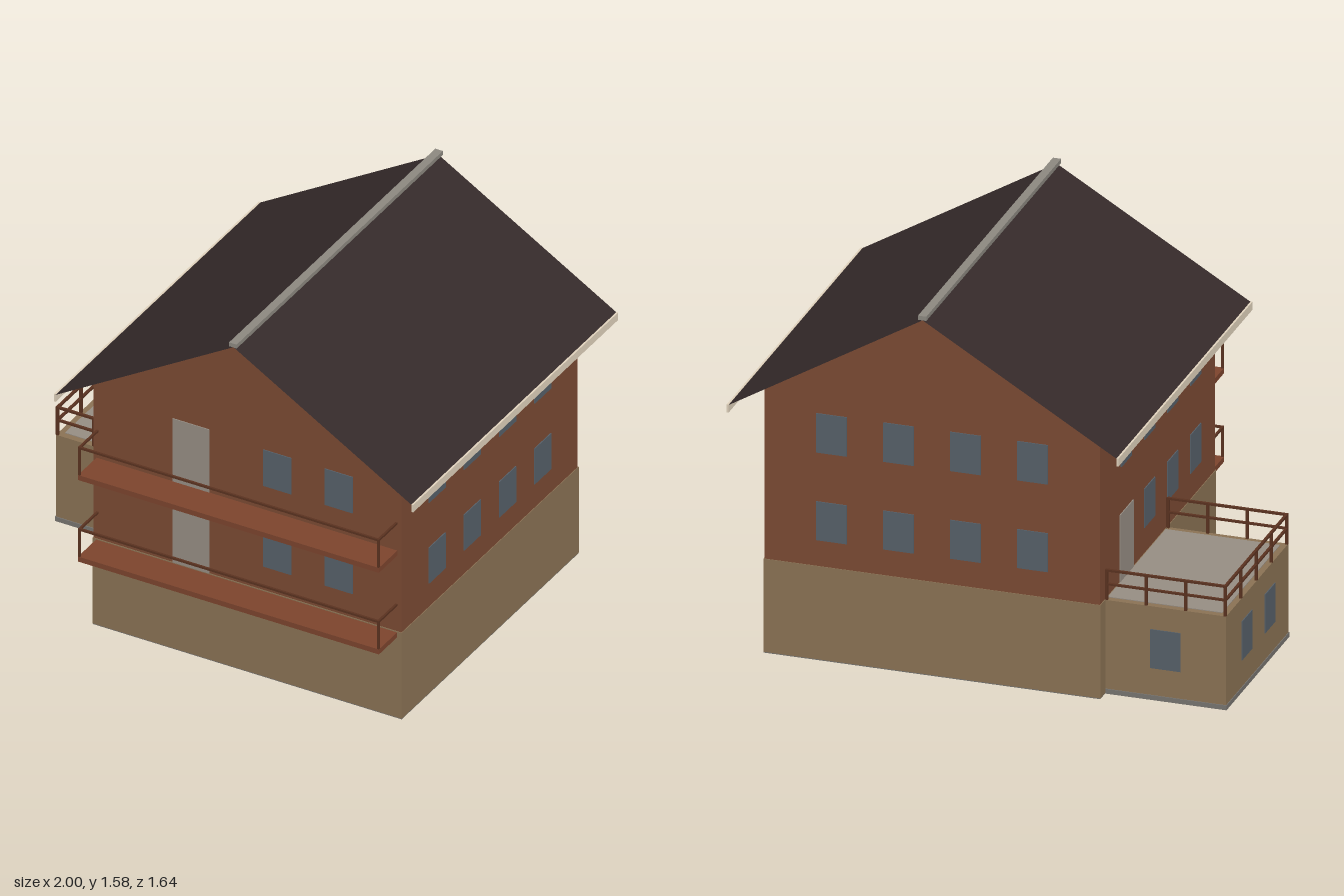
import * as THREE from 'three';

const mat = (name, color, side = THREE.FrontSide) => {
  const m = new THREE.MeshStandardMaterial({ color, side });
  m.name = name;
  return m;
};

export function createModel() {
  const M = {
    wall: mat('brown wall', 0x7b4a33),
    base: mat('tan plinth', 0x8a7254),
    roof: mat('dark roof', 0x352a2a, THREE.DoubleSide),
    trim: mat('cream fascia', 0xe0d2bc),
    ridge: mat('grey ridge', 0x8c8880),
    glass: mat('blue grey glass', 0x566069),
    door: mat('pale grey', 0x968d83),
    slab: mat('balcony wood', 0x7c442d),
    rail: mat('dark rail wood', 0x5a3220),
    ground: mat('foundation grey', 0x777470),
  };
  const house = new THREE.Group();
  house.name = 'house';

  // Box given by its limits on each axis
  const box = (parent, name, material, [x0, x1], [y0, y1], [z0, z1]) => {
    const mesh = new THREE.Mesh(new THREE.BoxGeometry(x1 - x0, y1 - y0, z1 - z0), material);
    mesh.position.set((x0 + x1) / 2, (y0 + y1) / 2, (z0 + z1) / 2);
    mesh.name = name;
    parent.add(mesh);
    return mesh;
  };
  const group = (name) => {
    const g = new THREE.Group();
    g.name = name;
    house.add(g);
    return g;
  };

  const L = -0.498, R = 0.884, F = 0.675, B = -0.705; // wall faces
  const mid = (L + R) / 2, apex = 1.56, eave = 1.083, half = 0.803;
  const slope = (apex - eave) / half;
  const wallTop = apex - slope * (R - mid);

  // Plinth and foundation
  box(house, 'plinth', M.base, [L - 0.003, R + 0.003], [0.004, 0.4], [B - 0.003, F + 0.003]);
  box(house, 'foundation', M.ground, [L - 0.002, R + 0.002], [0, 0.004], [B - 0.002, F + 0.002]);

  // Gabled walls
  const gable = new THREE.Shape();
  gable.moveTo(L, 0.4);
  gable.lineTo(R, 0.4);
  gable.lineTo(R, wallTop - 0.004);
  gable.lineTo(mid, apex - 0.004);
  gable.lineTo(L, wallTop - 0.004);
  const walls = new THREE.Mesh(
    new THREE.ExtrudeGeometry(gable, { depth: F - B, bevelEnabled: false }), M.wall);
  walls.position.z = B;
  walls.name = 'walls';
  house.add(walls);

  // Roof planes, fascias and ridge cap
  const roofZ = [-0.82, 0.785];
  for (const s of [-1, 1]) {
    const geo = new THREE.PlaneGeometry(Math.hypot(half, apex - eave), roofZ[1] - roofZ[0])
      .rotateX(-Math.PI / 2)
      .rotateZ(-s * Math.atan(slope))
      .translate(mid + s * half / 2, (apex + eave) / 2, (roofZ[0] + roofZ[1]) / 2);
    const plane = new THREE.Mesh(geo, M.roof);
    plane.name = s < 0 ? 'rightRoof' : 'leftRoof';
    house.add(plane);
    const x = mid + s * half;
    box(house, 'fascia', M.trim, [x - 0.004, x + 0.004], [1.053, 1.087], roofZ);
  }
  box(house, 'ridgeCap', M.ridge, [mid - 0.017, mid + 0.017], [1.562, 1.58], [-0.825, 0.79]);

  // Thin plates on walls: axis is the wall normal, at is the wall plane
  const openings = group('openings');
  const plate = (name, material, axis, at, centre, width, y) => {
    const across = [centre - width / 2, centre + width / 2];
    const through = [at - 0.004, at + 0.004];
    return axis === 'x'
      ? box(openings, name, material, through, y, across)
      : box(openings, name, material, across, y, through);
  };
  const storeys = [[0.51, 0.675], [0.883, 1.05]];
  storeys.forEach((y, storey) => {
    for (const x of [0.328, 0.603]) plate('frontWindow', M.glass, 'z', F, x, 0.126, y);
    plate('frontDoor', M.door, 'z', F, -0.06, 0.165, storey ? [0.775, 1.065] : [0.4, 0.685]);
    for (let i = 0; i < 4; i++) {
      plate('backWindow', M.glass, 'z', B, 0.607 - 0.276 * i, 0.126, y);
      plate('leftWindow', M.glass, 'x', R, 0.4 - 0.276 * i, 0.13, y);
      if (storey || i < 3) plate('rightWindow', M.glass, 'x', L, 0.435 - 0.276 * i, 0.126, y);
    }
  });
  plate('terraceDoor', M.door, 'x', L, -0.39, 0.16, [0.4, 0.685]);

  // Front balconies: slab, corner posts and a top rail
  for (const y of [0.373, 0.75]) {
    const balcony = group('balcony');
    const x0 = -0.485, x1 = 0.866, z1 = 0.82, t = 0.009;
    box(balcony, 'balconySlab', M.slab, [x0, x1], [y, y + 0.023], [F, z1]);
    const top = [y + 0.144, y + 0.153];
    box(balcony, 'frontRail', M.rail, [x0, x1], top, [z1 - t, z1]);
    for (const x of [x0, x1 - t]) {
      box(balcony, 'sideRail', M.rail, [x, x + t], top, [F, z1 - t]);
      box(balcony, 'post', M.rail, [x, x + t], [y + 0.023, top[0]], [z1 - t, z1]);
    }
  }

  // Side annex with a roof terrace
  const annex = group('annex');
  const ax = [-0.997, L], az = [-0.645, 0.1];
  box(annex, 'annexWalls', M.base, ax, [0.02, 0.397], az);
  box(annex, 'annexFooting', M.ground, [-1, L], [0, 0.02], [az[0] - 0.004, az[1] + 0.004]);
  box(annex, 'terraceFloor', M.door, [-0.972, L], [0.395, 0.4], [az[0] + 0.027, az[1] - 0.027]);
  for (const z of az) plate('annexWindow', M.glass, 'z', z, -0.748, 0.124, [0.135, 0.3]);
  for (const z of [-0.4, -0.125]) plate('annexWindow', M.glass, 'x', ax[0], z, 0.124, [0.135, 0.3]);

  // Terrace railing on three sides
  const t = 0.011, rx = -0.998;
  const post = (x, z) =>
    box(annex, 'terracePost', M.rail, [x, x + t], [0.397, 0.518], [z, z + t]);
  for (const y of [[0.46, 0.468], [0.518, 0.527]]) {
    box(annex, 'terraceRail', M.rail, [rx, rx + t], y, az);
    for (const z of [az[0], az[1] - t])
      box(annex, 'terraceRail', M.rail, [rx + t, L], y, [z, z + t]);
  }
  for (const z of [az[0], az[1] - t])
    for (let i = 0; i < 4; i++) post(rx + i * (L - t - rx) / 3, z);
  for (let i = 1; i < 4; i++) post(rx, az[0] + i * (az[1] - t - az[0]) / 4);

  return house;
}
